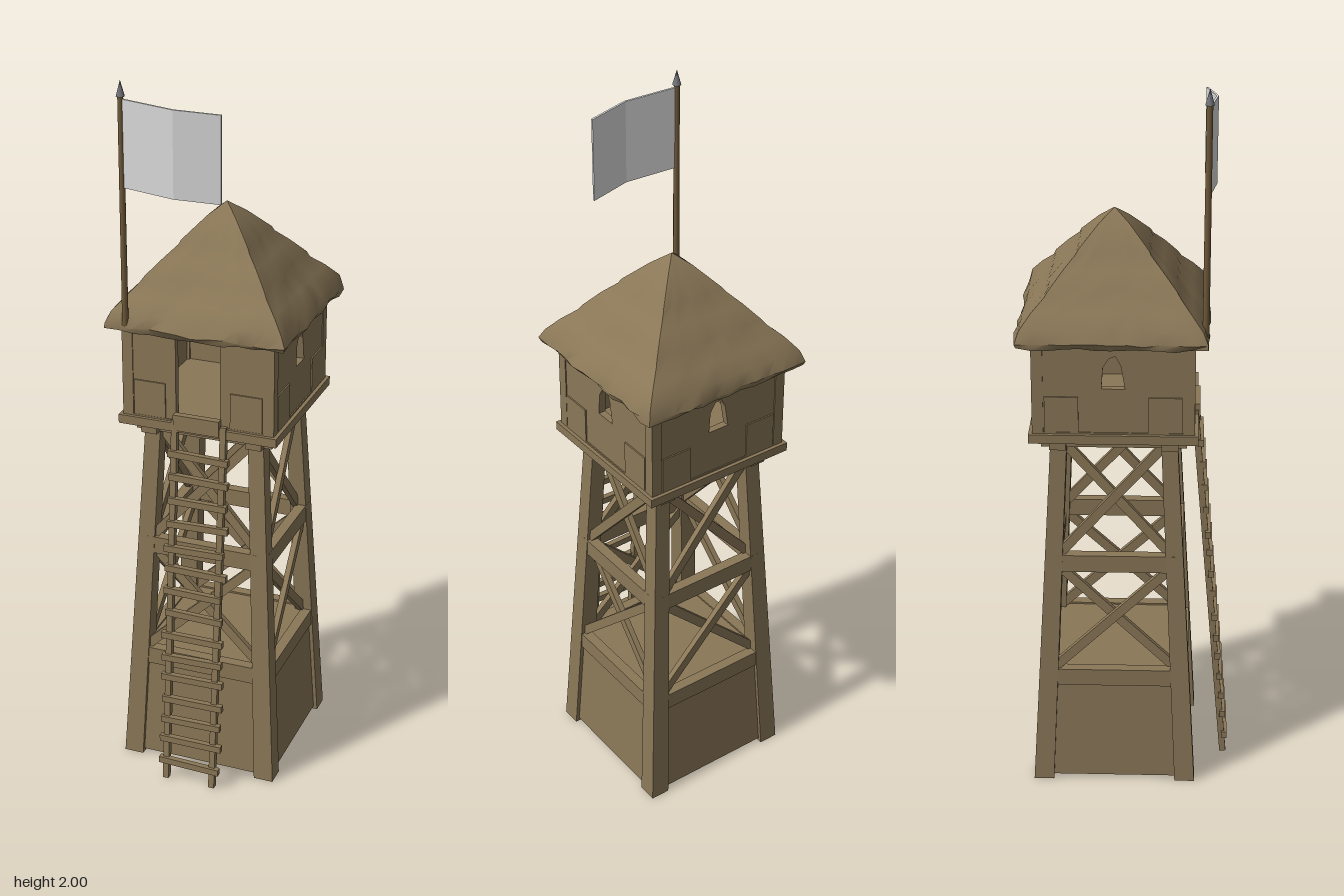
import * as THREE from 'three';
import { toCreasedNormals } from 'three/addons/utils/BufferGeometryUtils.js';

const mat = (name, color) => {
  const m = new THREE.MeshStandardMaterial({ color });
  m.name = name;
  return m;
};
let seed = 7;
const rnd = () => {
  seed = (seed * 16807) % 2147483647;
  return seed / 2147483647 - 0.5;
};

export function createModel() {
  const wood = mat('weathered wood', 0x8a7757);
  const cloth = mat('pale cloth', 0xdcdcdc);
  const poleWood = mat('pole wood', 0x705a3a);
  const metal = mat('grey metal', 0x76777c);
  const model = new THREE.Group();
  const tower = new THREE.Group();
  tower.name = 'tower';
  tower.position.z = -0.027;
  model.add(tower);

  const add = (parent, name, geo, material = wood) => {
    const mesh = new THREE.Mesh(geo, material);
    mesh.name = name;
    parent.add(mesh);
    return mesh;
  };
  const box = (parent, name, w, h, d, x, y, z) => {
    const mesh = add(parent, name, new THREE.BoxGeometry(w, h, d));
    mesh.position.set(x, y, z);
    return mesh;
  };
  // straight beam from a to b, in the space of its parent
  const beam = (parent, name, a, b, w, h) => {
    const p = new THREE.Vector3(...a), q = new THREE.Vector3(...b);
    const mesh = add(parent, name, new THREE.BoxGeometry(w, h, p.distanceTo(q)));
    mesh.position.copy(p).add(q).multiplyScalar(0.5);
    const turn = new THREE.Matrix4().lookAt(q, p, new THREE.Vector3(0, 0, 1));
    mesh.quaternion.setFromRotationMatrix(turn);
    return mesh;
  };
  // square prism with level ends, tapered and leaning
  const prism = (parent, name, x0, z0, r0, y0, x1, z1, r1, y1) => {
    const geo = new THREE.BoxGeometry(2, 2, 2);
    const p = geo.attributes.position;
    for (let i = 0; i < p.count; i++) {
      const up = p.getY(i) > 0;
      p.setXYZ(i, (up ? x1 : x0) + p.getX(i) * (up ? r1 : r0), up ? y1 : y0,
        (up ? z1 : z0) + p.getZ(i) * (up ? r1 : r0));
    }
    geo.computeVertexNormals();
    return add(parent, name, geo);
  };

  // legs and boarded base
  for (const sx of [-1, 1]) for (const sz of [-1, 1]) {
    prism(tower, 'leg', sx * 0.2, sz * 0.2, 0.028, 0, sx * 0.148, sz * 0.148, 0.022, 1.04);
  }
  prism(tower, 'boardedBase', 0, 0, 0.217, 0.01, 0, 0, 0.198, 0.345);

  // bracing, repeated on all four faces; r is the leg centre line at height y
  const r = (y) => 0.2 - 0.05 * y;
  for (let k = 0; k < 4; k++) {
    const face = new THREE.Group();
    face.name = 'framing';
    face.rotation.y = k * Math.PI / 2;
    tower.add(face);
    const rail = (y, h) => box(face, 'rail', 2 * r(y), h, 0.03, 0, y, r(y) + 0.008);
    rail(0.325, 0.05);
    rail(0.675, 0.05);
    for (const [lo, hi] of [[0.35, 0.655], [0.7, 1.02]]) {
      for (const s of [-1, 1]) {
        const off = s * 0.007;
        beam(face, 'brace', [-s * (r(lo) - 0.015), lo, r(lo) + off],
          [s * (r(hi) - 0.015), hi, r(hi) + off], 0.026, 0.016);
      }
    }
    box(face, 'platformJoist', 0.39, 0.035, 0.045, 0, 1.037, 0.15);
  }

  // platform
  const cabin = new THREE.Group();
  cabin.name = 'cabin';
  tower.add(cabin);
  box(cabin, 'floor', 0.43, 0.03, 0.43, 0, 1.066, 0);
  box(cabin, 'threshold', 0.13, 0.045, 0.02, 0, 1.08, 0.22);

  // walls: doorway at the front, pointed window on the other three sides
  for (let k = 0; k < 4; k++) {
    const wall = new THREE.Group();
    wall.name = 'wallSide';
    wall.rotation.y = k * Math.PI / 2;
    cabin.add(wall);
    const front = k === 0;
    const s = new THREE.Shape();
    s.moveTo(-0.212, 1.06);
    if (front) {
      s.lineTo(-0.063, 1.06);
      s.lineTo(-0.063, 1.325);
      s.lineTo(0.063, 1.325);
      s.lineTo(0.063, 1.06);
    }
    s.lineTo(0.212, 1.06);
    s.lineTo(0.212, 1.345);
    s.lineTo(-0.212, 1.345);
    s.closePath();
    if (!front) {
      const hole = new THREE.Path();
      hole.moveTo(-0.031, 1.205);
      hole.lineTo(-0.027, 1.265);
      hole.lineTo(-0.012, 1.29);
      hole.lineTo(0.006, 1.297);
      hole.lineTo(0.02, 1.27);
      hole.lineTo(0.031, 1.205);
      hole.closePath();
      s.holes.push(hole);
    }
    const geo = new THREE.ExtrudeGeometry(s, { depth: 0.02, bevelEnabled: false });
    geo.translate(0, 0, 0.192);
    add(wall, 'wall', geo);
    box(wall, 'sill', 0.45, 0.025, 0.025, 0, 1.064, 0.2125);
    box(wall, 'cornerPost', 0.03, 0.27, 0.03, -0.2, 1.21, 0.2);
    // low panels
    for (const x of [-0.137, 0.137]) {
      box(wall, 'panel', 0.09, 0.1, 0.008, x, 1.132, 0.212);
    }
  }

  // thatched roof: square rings from the soffit out to the eaves and up to the peak
  const profile = [[0, 1.335], [0.2, 1.335], [0.246, 1.328], [0.253, 1.342], [0.238, 1.376],
    [0.208, 1.412], [0.176, 1.444], [0.167, 1.46], [0.13, 1.502], [0.099, 1.534],
    [0.093, 1.545], [0.04, 1.602], [0, 1.635]];
  const corners = [[-1, 1], [1, 1], [1, -1], [-1, -1]];
  const n = 12;
  const rings = profile.map(([half, y], level) => {
    const ring = [];
    const rough = level < 4 ? 0.011 : 0.02 * half;
    for (let c = 0; c < 4; c++) for (let i = 0; i < n; i++) {
      const a = corners[c], b = corners[(c + 1) % 4], t = i / n;
      const h = half === 0 ? 0 : half + rnd() * rough;
      const lift = half === 0 ? 0 : rnd() * rough * 0.8;
      ring.push([(a[0] + (b[0] - a[0]) * t) * h, y + lift, (a[1] + (b[1] - a[1]) * t) * h]);
    }
    return ring;
  });
  const tris = [];
  for (let l = 0; l < rings.length - 1; l++) for (let i = 0; i < 4 * n; i++) {
    const j = (i + 1) % (4 * n), lo = rings[l], hi = rings[l + 1];
    if (l > 0) tris.push(...lo[i], ...lo[j], ...hi[j]);
    if (l < rings.length - 2) tris.push(...lo[i], ...hi[j], ...hi[i]);
  }
  const roofGeo = new THREE.BufferGeometry();
  roofGeo.setAttribute('position', new THREE.Float32BufferAttribute(tris, 3));
  add(tower, 'roof', toCreasedNormals(roofGeo, 0.7)).position.z = -0.003;

  // ladder leaning on the front sill
  const ladder = new THREE.Group();
  ladder.name = 'ladder';
  model.add(ladder);
  const lz = (y) => 0.284 - 0.087 * y;
  for (const x of [-0.063, 0.076]) {
    beam(ladder, 'ladderRail', [x, 0.001, lz(0)], [x, 1.085, lz(1.085)], 0.017, 0.018);
  }
  for (let i = 0; i < 15; i++) {
    const y = 0.06 + i * 0.066 + rnd() * 0.01;
    const rung = box(ladder, 'rung', 0.175 + rnd() * 0.02, 0.019, 0.016, 0.008 + rnd() * 0.01, y, lz(y) + 0.008);
    rung.rotation.z = rnd() * 0.06;
  }

  // flagpole with pointed tip
  const flag = new THREE.Group();
  flag.name = 'flag';
  flag.position.set(-0.192, 0, 0.213);
  model.add(flag);
  add(flag, 'flagpole', new THREE.CylinderGeometry(0.008, 0.009, 0.62, 8), poleWood).position.y = 1.65;
  add(flag, 'poleTip', new THREE.ConeGeometry(0.012, 0.042, 8), metal).position.y = 1.979;

  // folded cloth: bent and drooping slab
  const clothGeo = new THREE.BoxGeometry(0.268, 0.23, 0.006, 2, 1, 1);
  const p = clothGeo.attributes.position;
  for (let i = 0; i < p.count; i++) {
    const u = p.getX(i) / 0.268 + 0.5;
    const bend = u < 0.25 ? 0 : u < 0.75 ? 0.021 : -0.004;
    p.setXYZ(i, u < 0.25 ? 0 : u < 0.75 ? 0.15 : 0.269, 1.837 + p.getY(i) - 0.016 * u, p.getZ(i) + bend);
  }
  add(flag, 'flagCloth', toCreasedNormals(clothGeo.toNonIndexed(), 0.1), cloth);
  return model;
}
